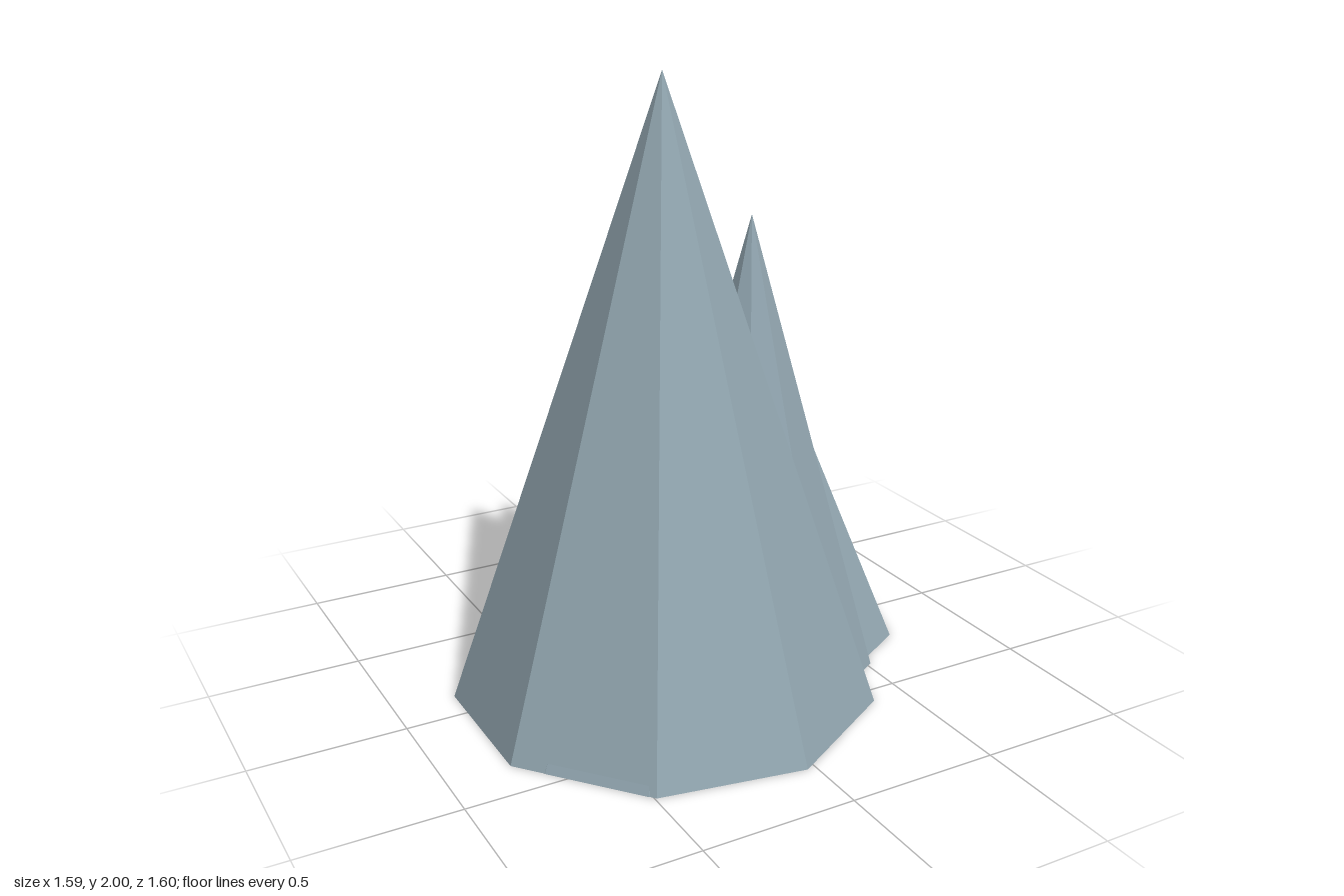
import * as THREE from 'three';

export function createModel() {
  const model = new THREE.Group();
  model.name = 'rockSpires';
  const stone = new THREE.MeshStandardMaterial({ color: 0x90a4ae, flatShading: true });
  stone.name = 'blueGreyStone';

  // Nine-sided spire standing on the ground, with one corner facing +x
  const addSpire = (name, x, z, radius, height) => {
    const geometry = new THREE.ConeGeometry(radius, height, 9, 1, false, Math.PI / 2);
    geometry.translate(0, height / 2, 0);
    const spire = new THREE.Mesh(geometry, stone);
    spire.name = name;
    spire.position.set(x, 0, z);
    model.add(spire);
  };

  addSpire('mainSpire', -0.148, 0.118, 0.692, 2);
  addSpire('backSpire', -0.025, -0.28, 0.528, 1.51);
  addSpire('leftSpire', 0.19, 0.078, 0.427, 1.53);
  addSpire('lowLeftSpire', 0.394, -0.04, 0.396, 0.94);
  // Mostly buried spire that just breaks the front right foot of the main one
  addSpire('buriedSpire', -0.267, 0.277, 0.488, 1.2);

  return model;
}
